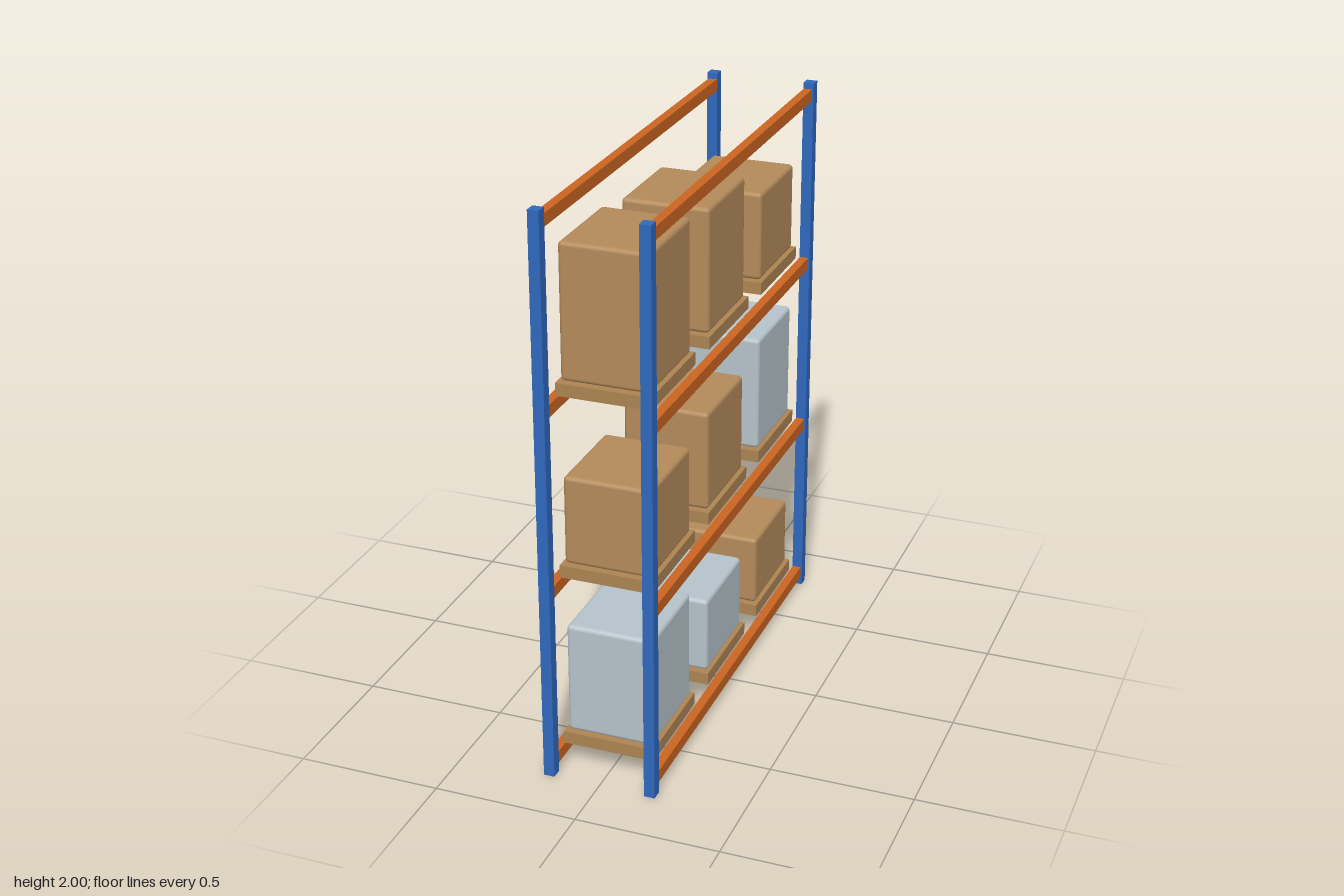
import * as THREE from 'three';
import { RoundedBoxGeometry } from 'three/addons/geometries/RoundedBoxGeometry.js';

function material(name, color) {
  const m = new THREE.MeshStandardMaterial({ color });
  m.name = name;
  return m;
}

export function createModel() {
  const rack = new THREE.Group();
  rack.name = 'palletRack';

  const blue = material('uprightBlue', 0x2f68bd);
  const orange = material('beamOrange', 0xcb6521);
  const wood = material('palletWood', 0xad8453);
  const cardboard = material('cardboard', 0xb38a5a);
  const grey = material('paleGrey', 0xb6c3ca);

  function add(name, geometry, mat, x, y, z, parent = rack) {
    const mesh = new THREE.Mesh(geometry, mat);
    mesh.name = name;
    mesh.position.set(x, y, z);
    parent.add(mesh);
    return mesh;
  }

  // Four uprights and the long beams on both sides
  const post = new THREE.BoxGeometry(0.038, 2, 0.04);
  const beam = new THREE.BoxGeometry(0.031, 0.043, 1.52);
  for (const side of [-1, 1]) {
    for (const end of [-1, 1]) add('upright', post, blue, side * 0.18, 1, end * 0.778);
    for (const y of [0.052, 0.683, 1.326, 1.957]) add('beam', beam, orange, side * 0.178, y, 0);
  }

  // Each level: pallet bottom height, then [load height, material] from front to back
  const levels = [
    { y: 0.082, loads: [[0.4, grey], [0.277, grey], [0.261, cardboard]] },
    { y: 0.714, loads: [[0.313, cardboard], [0.358, cardboard], [0.421, grey]] },
    { y: 1.36, loads: [[0.464, cardboard], [0.434, cardboard], [0.316, cardboard]] },
  ];
  const pallet = new THREE.BoxGeometry(0.324, 0.044, 0.385);
  for (const { y, loads } of levels) {
    loads.forEach(([height, mat], i) => {
      const z = (1 - i) * 0.517;
      const load = new THREE.Group();
      load.name = 'palletLoad';
      rack.add(load);
      add('pallet', pallet, wood, 0, y + 0.022, z, load);
      const box = new RoundedBoxGeometry(0.304, height, 0.352, 3, 0.015);
      add('loadBox', box, mat, 0, y + 0.045 + height / 2, z, load);
    });
  }
  return rack;
}
